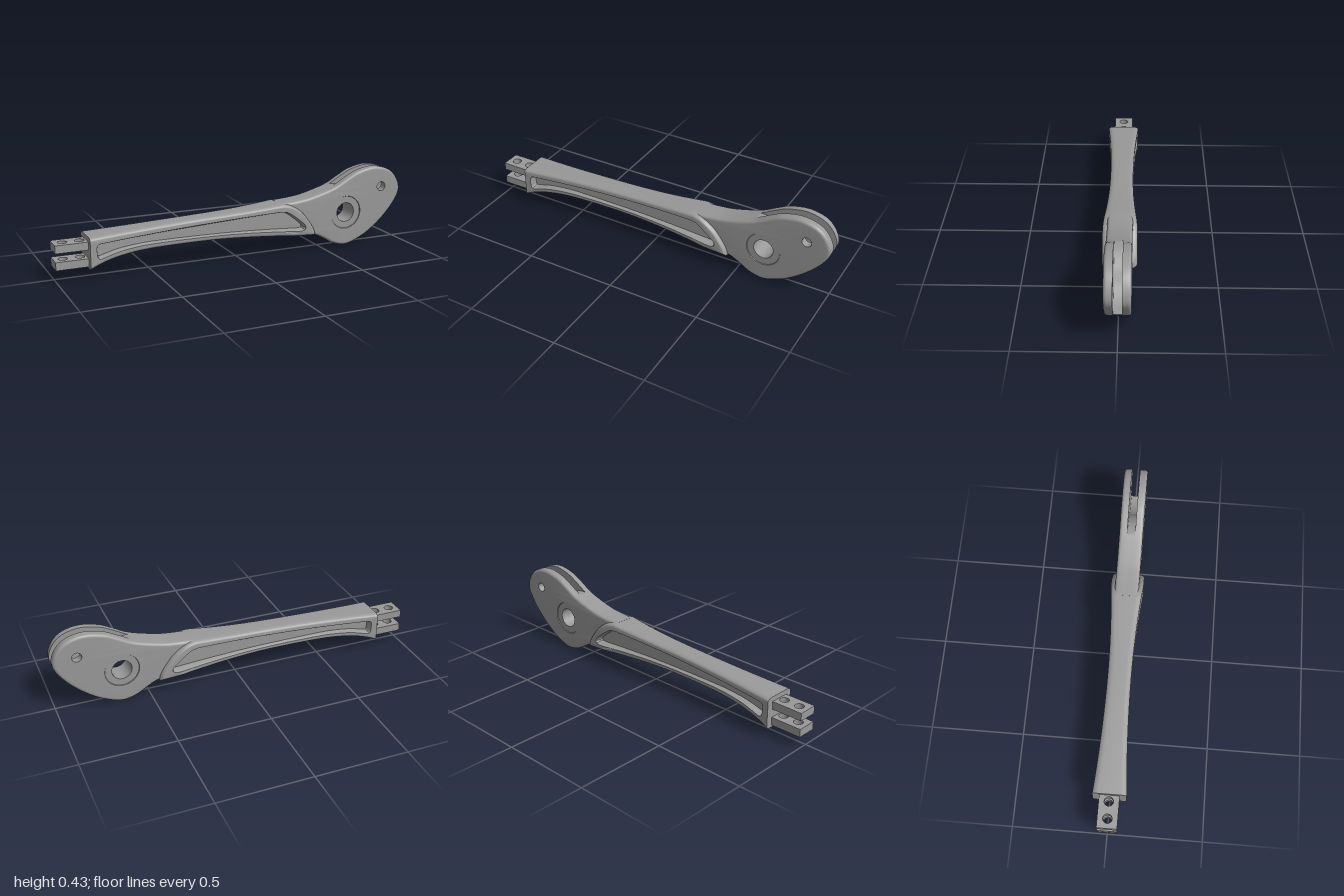
import * as THREE from 'three';
import { mergeGeometries, toCreasedNormals } from 'three/addons/utils/BufferGeometryUtils.js';

const material = new THREE.MeshStandardMaterial({ color: 0x999999 });
const toPoints = (list) => list.map(([x, y]) => new THREE.Vector2(x, y));

// evenly spaced smooth run of points, last one left off so that runs can be chained
function run(list, n) {
  return new THREE.SplineCurve(toPoints(list)).getSpacedPoints(n).slice(0, -1);
}

function circle(x, y, r, n = 40) {
  return Array.from({ length: n }, (_, i) => {
    const a = (i / n) * Math.PI * 2;
    return new THREE.Vector2(x + r * Math.cos(a), y + r * Math.sin(a));
  });
}

// move a counter-clockwise loop inwards; the flat grip end stays in its plane
const END = -0.83, END_LOW = 0.05, END_HIGH = 0.218;
function inset(loop, d) {
  const n = loop.length;
  return loop.map((p, i) => {
    if (p.x < END + 0.001) {
      return new THREE.Vector2(p.x, THREE.MathUtils.clamp(p.y, END_LOW + d, END_HIGH - d));
    }
    const a = p.clone().sub(loop[(i + n - 1) % n]).normalize();
    const b = loop[(i + 1) % n].clone().sub(p).normalize();
    const t = a.clone().add(b).multiplyScalar(d / (1 + a.dot(b)));
    return new THREE.Vector2(p.x - t.y, p.y + t.x);
  });
}

// surface through rings [loop, z] of equal length, where z is a number or a function of x
const zAt = (z, x) => (typeof z === 'function' ? z(x) : z);
function bridge(rings) {
  const n = rings[0][0].length, pos = [], index = [];
  for (const [loop, z] of rings) {
    for (const p of loop) pos.push(p.x, p.y, zAt(z, p.x));
  }
  for (let r = 0; r < rings.length - 1; r++) {
    for (let i = 0; i < n; i++) {
      const a = r * n + i, b = r * n + ((i + 1) % n);
      index.push(a, b, b + n, a, b + n, a + n);
    }
  }
  const g = new THREE.BufferGeometry();
  g.setAttribute('position', new THREE.Float32BufferAttribute(pos, 3));
  g.setIndex(index);
  return g;
}

// wall on one loop through rings [inset, z]
const wall = (loop, rings) => bridge(rings.map(([d, z]) => [inset(loop, d), z]));

// flat face with holes, facing +z
function face(loop, z, holes = []) {
  const shape = new THREE.Shape(loop);
  shape.holes = holes.map((h) => new THREE.Path(h));
  return new THREE.ShapeGeometry(shape).translate(0, 0, z);
}

function flip(g) {
  const a = g.index.array;
  for (let i = 0; i < a.length; i += 3) [a[i], a[i + 1]] = [a[i + 1], a[i]];
  return g;
}

// join pieces, optionally with their mirror image across z = 0
function solid(pieces, mirrored = true) {
  const bare = pieces.map((g) => {
    const b = g.index ? g.toNonIndexed() : g;
    b.deleteAttribute('uv');
    b.deleteAttribute('normal');
    return b;
  });
  if (mirrored) {
    for (const g of [...bare]) {
      const m = g.clone(), p = m.attributes.position, q = g.attributes.position;
      for (let i = 0; i < p.count; i++) {
        const j = i + 2 - 2 * (i % 3);
        p.setXYZ(i, q.getX(j), q.getY(j), -q.getZ(j));
      }
      bare.push(m);
    }
  }
  // enlarged while creasing, so that close points are told apart
  const scaled = mergeGeometries(bare).scale(100, 100, 100);
  return toCreasedNormals(scaled, 0.6).scale(0.01, 0.01, 0.01);
}

function add(group, name, geometry) {
  const mesh = new THREE.Mesh(geometry, material);
  mesh.name = name;
  group.add(mesh);
}

// rounded edge rings from the middle of a plate to its outer face
function roundedRings(start, top, width, height, steps = 6) {
  const rings = [[0, start]];
  for (let i = 0; i <= steps; i++) {
    const a = (i / steps) * Math.PI / 2;
    rings.push([width * (1 - Math.cos(a)), (x) => zAt(top, x) - height * (1 - Math.sin(a))]);
  }
  return rings;
}

// grip with a waisted thickness and a pocket in each side;
// outline and pocket share their point counts so the rim follows the waist
function gripGeometry() {
  const half = (x) => Math.min(0.09, 0.063 + (x < -0.2 ? 0.066 : 0.1) * (x + 0.2) ** 2);
  const outline = [
    ...run([[END, END_LOW], [-0.75, 0.08], [-0.65, 0.102], [-0.5, 0.116], [-0.2, 0.118],
      [0, 0.112], [0.2, 0.1], [0.36, 0.088], [0.453, 0.083]], 60),
    ...run([[0.453, 0.083], [0.443, 0.12], [0.415, 0.165], [0.375, 0.215], [0.33, 0.25],
      [0.29, 0.27], [0.25, 0.277]], 16),
    ...run([[0.25, 0.277], [0, 0.258], [-0.4, 0.24], [END, END_HIGH]], 60),
    ...run([[END, END_HIGH], [END, END_LOW]], 14),
  ];
  const pocket = [
    ...run([[-0.77, 0.104], [-0.68, 0.128], [-0.58, 0.141], [-0.47, 0.146], [-0.2, 0.145],
      [0, 0.14], [0.2, 0.13], [0.35, 0.12]], 60),
    ...run([[0.35, 0.12], [0.376, 0.123], [0.385, 0.138], [0.372, 0.16], [0.32, 0.203],
      [0.275, 0.232], [0.235, 0.238]], 16),
    ...run([[0.235, 0.238], [0, 0.226], [-0.4, 0.206], [-0.775, 0.184]], 60),
    ...run([[-0.775, 0.184], [-0.79, 0.178], [-0.796, 0.16], [-0.793, 0.12],
      [-0.786, 0.106], [-0.77, 0.104]], 14),
  ];
  const floor = 0.045;
  return solid([
    wall(outline, roundedRings(0, half, 0.016, 0.03)),
    bridge([[inset(outline, 0.016), half], [pocket, half]]),
    wall(pocket, [[0, half], [0.002, (x) => half(x) - 0.003], [0.008, floor]]),
    face(inset(pocket, 0.008), floor),
  ]);
}

// cam head: two cheeks over a core that leaves the slot open; its neck runs into the grip
const SLOT = 0.022, CHEEK = 0.065, BORE = [0.648, 0.19], PIN = [0.875, 0.318];
const headOutline = [
  ...run([[0.4, 0.0865], [0.46, 0.078], [0.515, 0.052], [0.58, 0.015], [0.66, 0.001],
    [0.755, 0.034], [0.835, 0.084], [0.915, 0.155], [0.975, 0.23], [1, 0.295],
    [0.975, 0.365], [0.92, 0.414], [0.83, 0.434], [0.73, 0.416], [0.66, 0.383],
    [0.57, 0.336], [0.43, 0.296], [0.34, 0.283], [0.245, 0.277]], 120),
  ...toPoints([[0.245, 0.277], [0.245, 0.243], [0.29, 0.236], [0.35, 0.19], [0.405, 0.14]]),
];

function cheekGeometry() {
  const bore = circle(...BORE, 0.054), seat = circle(...BORE, 0.093, 48);
  const pin = circle(...PIN, 0.026, 28), sunk = CHEEK - 0.004;
  return solid([
    wall(headOutline, roundedRings(SLOT, CHEEK, 0.016, 0.016)),
    face(inset(headOutline, 0.016), CHEEK, [seat, pin]),
    wall(seat, [[0, CHEEK], [0.002, sunk]]),
    face(inset(seat, 0.002), sunk, [bore]),
    wall(bore, [[0, sunk], [0, SLOT]]),
    wall(pin, [[0, CHEEK], [0, SLOT]]),
    flip(face(headOutline, SLOT, [bore, pin])),
  ]);
}

function coreGeometry() {
  const cut = headOutline.findIndex((p) => p.x > 0.59 && p.y > 0.157);
  const slotFloor = run([[0.92, 0.16], [0.85, 0.167], [0.78, 0.21], [0.72, 0.287],
    [0.65, 0.334], [0.585, 0.342]], 24);
  const shape = new THREE.Shape([
    ...headOutline.slice(0, cut), ...slotFloor,
    ...headOutline.slice(cut).filter((p) => p.x < 0.585),
  ]);
  shape.holes.push(new THREE.Path(circle(...BORE, 0.054)));
  const g = new THREE.ExtrudeGeometry(shape, { depth: 2 * SLOT, bevelEnabled: false });
  return solid([g.translate(0, 0, -SLOT)], false);
}

// drilled flat tang, lying in the xz plane
function tangGeometry(bottom, height) {
  const shape = new THREE.Shape(toPoints([[-1, -0.053], [-0.825, -0.053], [-0.825, 0.053], [-1, 0.053]]));
  shape.holes = [-0.95, -0.862].map((x) => new THREE.Path(circle(x, 0, 0.024, 28)));
  const g = new THREE.ExtrudeGeometry(shape, { depth: height, bevelEnabled: false });
  return solid([g.rotateX(-Math.PI / 2).translate(0, bottom, 0)], false);
}

export function createModel() {
  const model = new THREE.Group();
  model.name = 'leverHandle';
  add(model, 'grip', gripGeometry());

  const head = new THREE.Group();
  head.name = 'camHead';
  add(head, 'headCheeks', cheekGeometry());
  add(head, 'headCore', coreGeometry());
  model.add(head);

  add(model, 'upperTang', tangGeometry(0.15, 0.042));
  add(model, 'lowerTang', tangGeometry(0.062, 0.043));
  return model;
}
